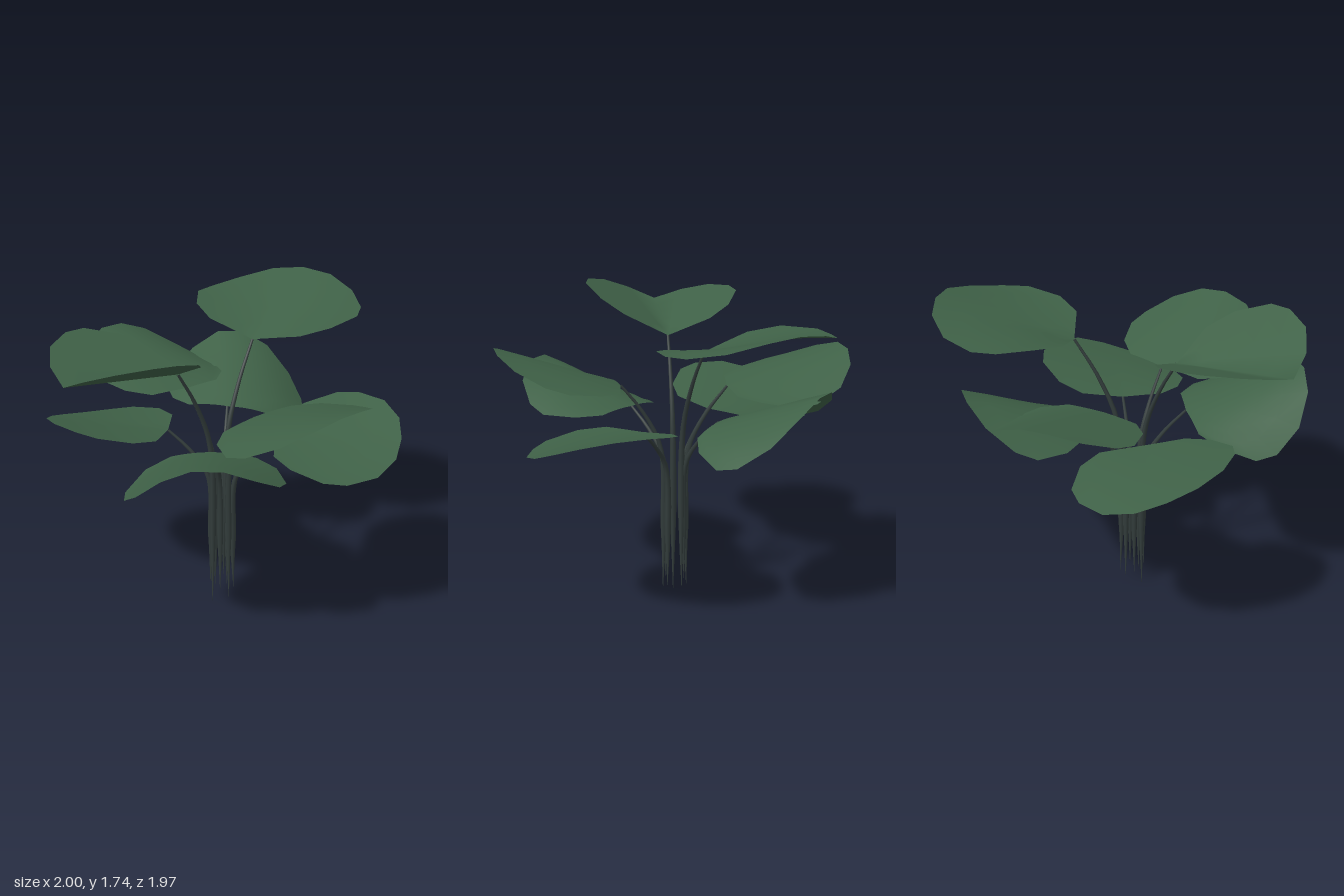
import * as THREE from 'three';

const leafGreen = new THREE.MeshStandardMaterial({ color: 0x3f6147, side: THREE.DoubleSide });
leafGreen.name = 'leaf green';
const stemGrey = new THREE.MeshStandardMaterial({ color: 0x323c3b });
stemGrey.name = 'stem grey';

// Half outline of the round blade: [distance along midrib, half width], both 0..1
const HALF = [[0.03, 0.55], [0.18, 0.83], [0.44, 1], [0.62, 0.95], [0.84, 0.72], [0.97, 0.37]];
const OUTLINE = [...HALF, [1, 0], ...HALF.map(([u, v]) => [u, -v]).reverse()];
const ROWS = 5;

// angle: heading in the ground plane; base: stalk joint; slope: rise along midrib;
// roll and fold: sideways tilt and upward fold, each at the joint and at the tip; foot: stalk's lowest point
const LEAVES = [
  { name: 'leftLeaf', angle: 180, base: [-0.315, 1.48, 0], length: 0.685, width: 0.445, slope: 0.13, roll: [-0.07, -0.07], fold: [0.42, 0.42], foot: 0 },
  { name: 'backLeftLeaf', angle: 225, base: [-0.24, 1.06, -0.22], length: 0.67, width: 0.42, slope: 0.06, roll: [-0.08, -0.36], fold: [0.05, 0], foot: 0.1 },
  { name: 'backLeaf', angle: 270, base: [-0.055, 1.24, -0.3], length: 0.685, width: 0.4, slope: 0.28, roll: [-0.02, -0.22], fold: [-0.05, -0.35], foot: 0.06 },
  { name: 'backRightLeaf', angle: 315, base: [0.17, 1.1, -0.22], length: 0.63, width: 0.41, slope: 0.37, roll: [-0.05, -0.25], fold: [-0.25, -0.6], foot: 0.12 },
  { name: 'rightLeaf', angle: 331, base: [0.27, 1.515, -0.12], length: 0.75, width: 0.495, slope: 0.28, roll: [-0.05, 0.03], fold: [0.22, -0.2], foot: 0.06 },
  { name: 'frontRightLeaf', angle: 45, base: [0.18, 1.06, 0.21], length: 0.69, width: 0.42, slope: 0.06, roll: [-0.08, -0.36], fold: [0.05, 0], foot: 0.08 },
  { name: 'frontLeaf', angle: 90, base: [-0.025, 1.27, 0.3], length: 0.685, width: 0.415, slope: 0.335, roll: [-0.08, -0.1], fold: [-0.1, -0.28], foot: 0.04 },
  { name: 'frontLeftLeaf', angle: 135, base: [-0.24, 1.09, 0.22], length: 0.67, width: 0.42, slope: 0.31, roll: [-0.05, -0.25], fold: [-0.2, -0.6], foot: 0.1 },
];

// Blade: a fan of rays from the stalk joint; upward folds are sharp, downward ones rounded
function bladeGeometry({ angle, base, length, width, slope, roll, fold }) {
  const a = THREE.MathUtils.degToRad(angle), c = Math.cos(a), s = Math.sin(a);
  const pos = [...base], index = [];
  for (const [ou, ov] of OUTLINE) {
    for (let k = 1; k <= ROWS; k++) {
      const t = k / ROWS, u = ou * t * length, v = ov * t * width;
      const f = THREE.MathUtils.lerp(...fold, ou * t);
      const r = THREE.MathUtils.lerp(...roll, ou * t);
      const lift = f > 0 ? f * Math.abs(v) : f * v * v / width;
      pos.push(base[0] + c * u - s * v, base[1] + slope * u + r * v + lift, base[2] + s * u + c * v);
    }
  }
  for (let i = 0; i < OUTLINE.length - 1; i++) {
    const p = 1 + i * ROWS, q = p + ROWS;
    index.push(0, p, q);
    for (let k = 0; k < ROWS - 1; k++) index.push(p + k, p + k + 1, q + k + 1, p + k, q + k + 1, q + k);
  }
  const g = new THREE.BufferGeometry();
  g.setAttribute('position', new THREE.Float32BufferAttribute(pos, 3));
  g.setIndex(index);
  g.computeVertexNormals();
  return g;
}

// Stalk: a tube that swells from a pointed foot and thins towards the blade
function stalkGeometry({ angle, base, foot }) {
  const a = THREE.MathUtils.degToRad(angle), c = Math.cos(a), s = Math.sin(a);
  const at = (r, y) => new THREE.Vector3(-0.03 + c * r, y, s * r);
  const end = new THREE.Vector3(...base);
  const knee = at(0.08, base[1] * 0.5 + 0.27);
  const bend = knee.clone().lerp(end, 0.45);
  bend.y += (end.y - knee.y) * 0.12;
  const path = new THREE.CatmullRomCurve3([at(0.068, foot), at(0.064, 0.4), knee, bend, end]);
  const seg = 20, sides = 6;
  const g = new THREE.TubeGeometry(path, seg, 0.019, sides);
  const p = g.attributes.position, v = new THREE.Vector3();
  for (let i = 0; i <= seg; i++) {
    const t = i / seg, centre = path.getPointAt(t);
    const taper = Math.min(0.04 + t * 3, 1) * (t > 0.45 ? 1 - (t - 0.45) * 1.1 : 1);
    for (let j = 0; j <= sides; j++) {
      const n = i * (sides + 1) + j;
      v.fromBufferAttribute(p, n).sub(centre).multiplyScalar(taper).add(centre);
      p.setXYZ(n, v.x, v.y, v.z);
    }
  }
  return g;
}

export function createModel() {
  const plant = new THREE.Group();
  plant.name = 'leafyPlant';
  for (const leaf of LEAVES) {
    const group = new THREE.Group();
    group.name = leaf.name;
    const blade = new THREE.Mesh(bladeGeometry(leaf), leafGreen);
    blade.name = 'blade';
    const stalk = new THREE.Mesh(stalkGeometry(leaf), stemGrey);
    stalk.name = 'stalk';
    group.add(blade, stalk);
    plant.add(group);
  }
  return plant;
}
